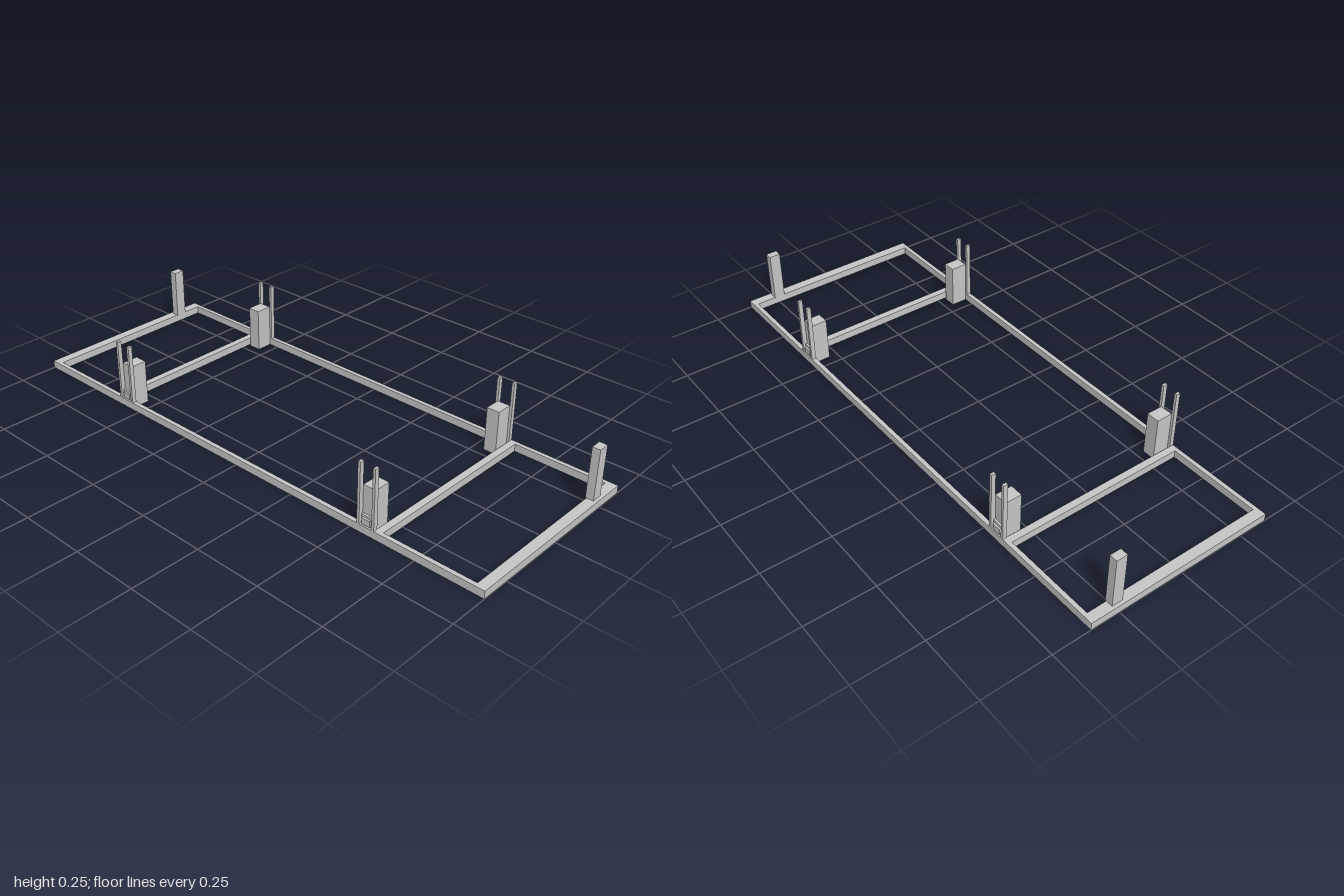
import * as THREE from 'three';

export function createModel() {
  const model = new THREE.Group();
  model.name = 'baseFrame';
  const steel = new THREE.MeshStandardMaterial({ color: 0xc8c8c8 });
  steel.name = 'light grey steel';

  // Box given by its lower and upper limits on each axis
  const box = (parent, name, x, y, z) => {
    const mesh = new THREE.Mesh(
      new THREE.BoxGeometry(x[1] - x[0], y[1] - y[0], z[1] - z[0]), steel);
    mesh.position.set((x[0] + x[1]) / 2, (y[0] + y[1]) / 2, (z[0] + z[1]) / 2);
    mesh.name = name;
    parent.add(mesh);
  };
  const flip = (range, s) => (s > 0 ? range : [-range[1], -range[0]]);

  const W = 0.358, H = 0.028, inner = 0.342;

  // Long side rails
  for (const sx of [1, -1]) {
    box(model, 'sideRail', flip([inner, W], sx), [0, H], [-0.963, 0.963]);
  }

  for (const sz of [1, -1]) {
    // End rail, cross bar and upright post at each end
    box(model, 'endRail', [-W, W], [0, H], flip([0.963, 1], sz));
    box(model, 'crossBar', [-inner, inner], [0, H], flip([0.595, 0.621], sz));
    box(model, 'endPost', [0.229, 0.27], [H, 0.214], flip([0.959, 0.988], sz));

    // Corner brackets: block, two slim guides and a small latch between them
    for (const sx of [1, -1]) {
      const bracket = new THREE.Group();
      bracket.name = 'cornerBracket';
      model.add(bracket);
      box(bracket, 'block', flip([0.281, inner], sx), [0, 0.163], flip([0.538, 0.586], sz));
      for (const z of [[0.528, 0.538], [0.586, 0.596]]) {
        box(bracket, 'guide', flip([inner, W], sx), [H, 0.248], flip(z, sz));
      }
      box(bracket, 'latchBase', flip([inner, 0.35], sx), [H, 0.063], flip([0.54, 0.584], sz));
      box(bracket, 'latch', flip([0.35, 0.357], sx), [0.033, 0.055], flip([0.546, 0.578], sz));
    }
  }
  return model;
}
